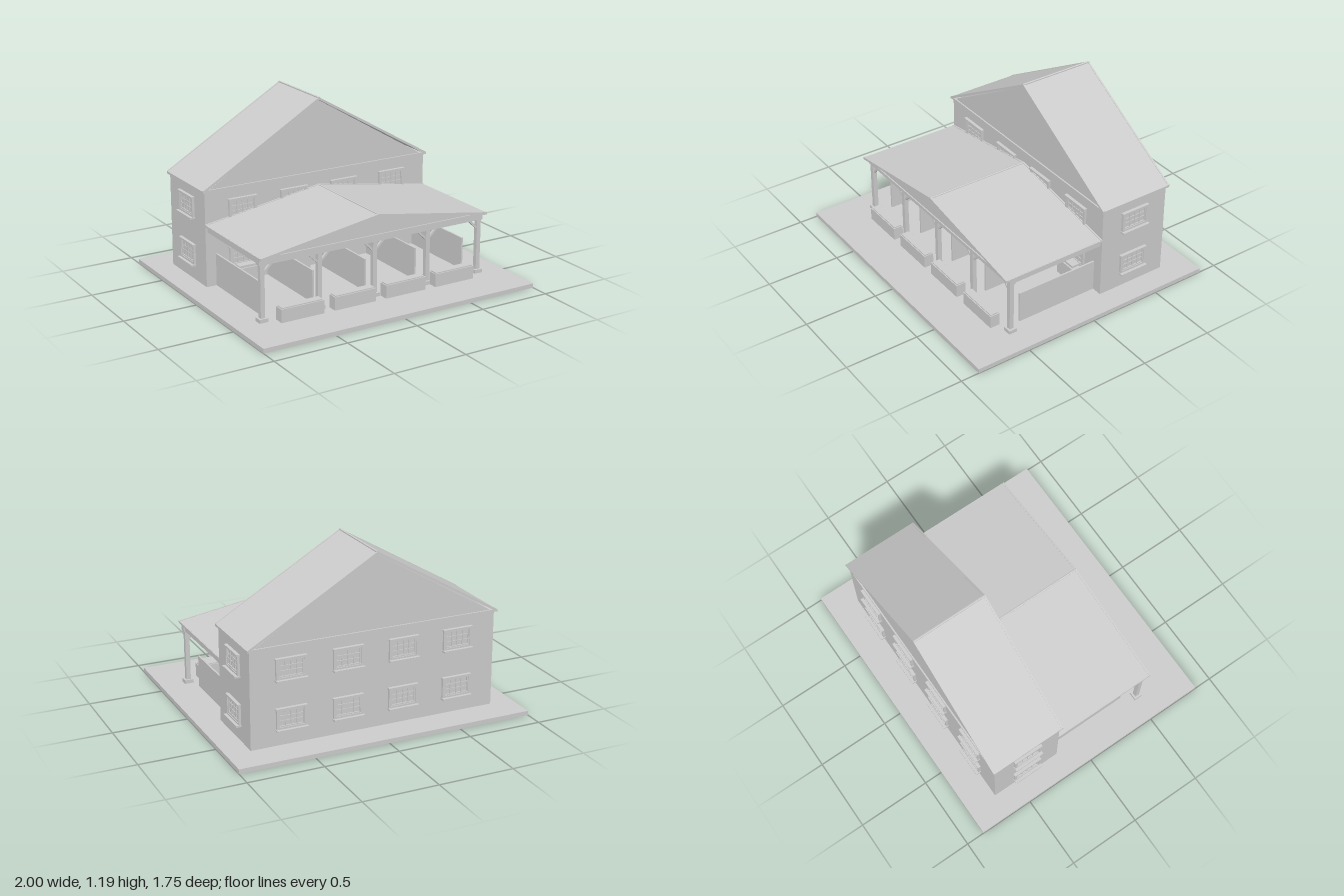
import * as THREE from 'three';

const grey = new THREE.MeshStandardMaterial({ color: 0xcccccc });
grey.name = 'plain grey';

// Box given by its extents on each axis
function box(parent, name, x0, x1, y0, y1, z0, z1) {
  const mesh = new THREE.Mesh(new THREE.BoxGeometry(x1 - x0, y1 - y0, z1 - z0), grey);
  mesh.position.set((x0 + x1) / 2, (y0 + y1) / 2, (z0 + z1) / 2);
  mesh.name = name;
  parent.add(mesh);
  return mesh;
}

// Outline in x/y pushed from z0 to z1, with optional holes
function prism(parent, name, points, z0, z1, holes = []) {
  const toVectors = (list) => list.map(([x, y]) => new THREE.Vector2(x, y));
  const shape = new THREE.Shape(toVectors(points));
  holes.forEach((h) => shape.holes.push(new THREE.Path(toVectors(h))));
  const geo = new THREE.ExtrudeGeometry(shape, { depth: z1 - z0, bevelEnabled: false });
  const mesh = new THREE.Mesh(geo, grey);
  mesh.position.z = z0;
  mesh.name = name;
  parent.add(mesh);
  return mesh;
}

const rect = (w, y0, y1) => [[-w, y0], [w, y0], [w, y1], [-w, y1]];

// Gable roof: ridge runs along z, with raised rake trims and a ridge cap
function gableRoof(parent, name, half, eave, ridge, z0, z1, t) {
  const roof = new THREE.Group();
  roof.name = name;
  const chevron = (lift) => [
    [-half, eave + lift], [-half, eave - t], [0, ridge - t],
    [half, eave - t], [half, eave + lift], [0, ridge + lift],
  ];
  prism(roof, 'roofSlopes', chevron(-0.003), z0 + 0.012, z1 - 0.012);
  prism(roof, 'backRake', chevron(0), z0, z0 + 0.012);
  prism(roof, 'frontRake', chevron(0), z1 - 0.012, z1);
  const cap = [[-0.007, ridge - 0.01], [0.007, ridge - 0.01], [0.007, ridge], [0, ridge + 0.003], [-0.007, ridge]];
  prism(roof, 'ridgeCap', cap, z0, z1);
  parent.add(roof);
}

// Window facing +z, bottom of its sill at y = 0
function makeWindow() {
  const win = new THREE.Group();
  win.name = 'window';
  prism(win, 'windowSurround', rect(0.1, 0.012, 0.148), 0, 0.016, [rect(0.086, 0.024, 0.136)]);
  prism(win, 'windowSash', rect(0.086, 0.024, 0.136), 0, 0.011, [rect(0.078, 0.032, 0.128)]);
  box(win, 'windowPane', -0.08, 0.08, 0.03, 0.13, 0, 0.003);
  for (const x of [-0.039, 0, 0.039]) box(win, 'muntin', x - 0.003, x + 0.003, 0.03, 0.13, 0, 0.009);
  for (const y of [0.064, 0.096]) box(win, 'crossMuntin', -0.08, 0.08, y - 0.003, y + 0.003, 0, 0.008);
  box(win, 'windowHead', -0.104, 0.104, 0.138, 0.15, 0, 0.022);
  box(win, 'windowSill', -0.104, 0.104, 0, 0.012, 0, 0.036);
  return win;
}

export function createModel() {
  const model = new THREE.Group();
  model.name = 'stableHouse';

  // Ground slab and main building
  box(model, 'baseSlab', -1, 1, 0, 0.03, -0.875, 0.875);
  box(model, 'houseWalls', -0.84, 0.84, 0.03, 0.675, -0.67, -0.17);
  prism(model, 'houseGable', [[-0.83, 0.67], [0.83, 0.67], [0, 1.165]], -0.67, -0.17);
  box(model, 'eaveBand', -0.85, 0.85, 0.668, 0.684, -0.68, -0.16);
  gableRoof(model, 'mainRoof', 0.856, 0.685, 1.185, -0.685, -0.155, 0.018);

  // Windows: two storeys on every wall
  const addWindow = (x, y, z, turn) => {
    const win = makeWindow();
    win.position.set(x, y, z);
    win.rotation.y = turn;
    model.add(win);
  };
  for (const y of [0.128, 0.453]) {
    for (const x of [-0.573, -0.191, 0.191, 0.573]) {
      addWindow(x, y, -0.17, 0);
      addWindow(x, y, -0.67, Math.PI);
    }
    addWindow(0.84, y, -0.42, Math.PI / 2);
    addWindow(-0.84, y, -0.42, -Math.PI / 2);
  }

  // Porch roof with recessed front gable
  const porch = new THREE.Group();
  porch.name = 'porch';
  model.add(porch);
  prism(porch, 'porchGable', [[-0.8, 0.44], [0.8, 0.44], [0, 0.578]], -0.17, 0.545);
  box(porch, 'porchEaveBand', -0.838, 0.838, 0.437, 0.455, -0.17, 0.553);
  gableRoof(porch, 'porchRoof', 0.842, 0.457, 0.592, -0.17, 0.565, 0.017);

  // Beams
  box(porch, 'frontBeam', -0.835, 0.835, 0.4, 0.437, 0.49, 0.53);
  for (const s of [-1, 1]) box(porch, 'sideBeam', s * 0.81 - 0.015, s * 0.81 + 0.015, 0.402, 0.432, -0.17, 0.49);

  // Posts with footings and diagonal braces
  const postXs = [-0.81, -0.405, 0, 0.405, 0.81];
  for (const x of postXs) {
    box(porch, 'post', x - 0.015, x + 0.015, 0.05, 0.4, 0.495, 0.525);
    box(porch, 'postFooting', x - 0.03, x + 0.03, 0.03, 0.055, 0.482, 0.538);
    for (const s of [-1, 1]) {
      if (Math.abs(x + s * 0.08) > 0.84) continue;
      const brace = [[0.014, 0.335], [0.08, 0.4], [0.06, 0.4], [0.014, 0.354]].map(([a, y]) => [x + s * a, y]);
      prism(porch, 'brace', brace, 0.502, 0.518);
    }
  }

  // Stall partitions
  for (const x of [-0.763, -0.387, 0, 0.387, 0.763]) {
    box(porch, 'stallPartition', x - 0.006, x + 0.006, 0.03, 0.247, -0.17, 0.41);
  }

  // Troughs in front of each stall, and feeders against the wall
  for (const x of [-0.57, -0.19, 0.19, 0.57]) {
    box(porch, 'trough', x - 0.151, x + 0.151, 0.03, 0.118, 0.53, 0.598);
    box(porch, 'troughTop', x - 0.144, x + 0.144, 0.118, 0.125, 0.537, 0.591);
    box(porch, 'feeder', x - 0.08, x + 0.08, 0.03, 0.14, -0.17, -0.09);
    box(porch, 'feederTop', x - 0.066, x + 0.066, 0.14, 0.155, -0.17, -0.1);
  }

  return model;
}
